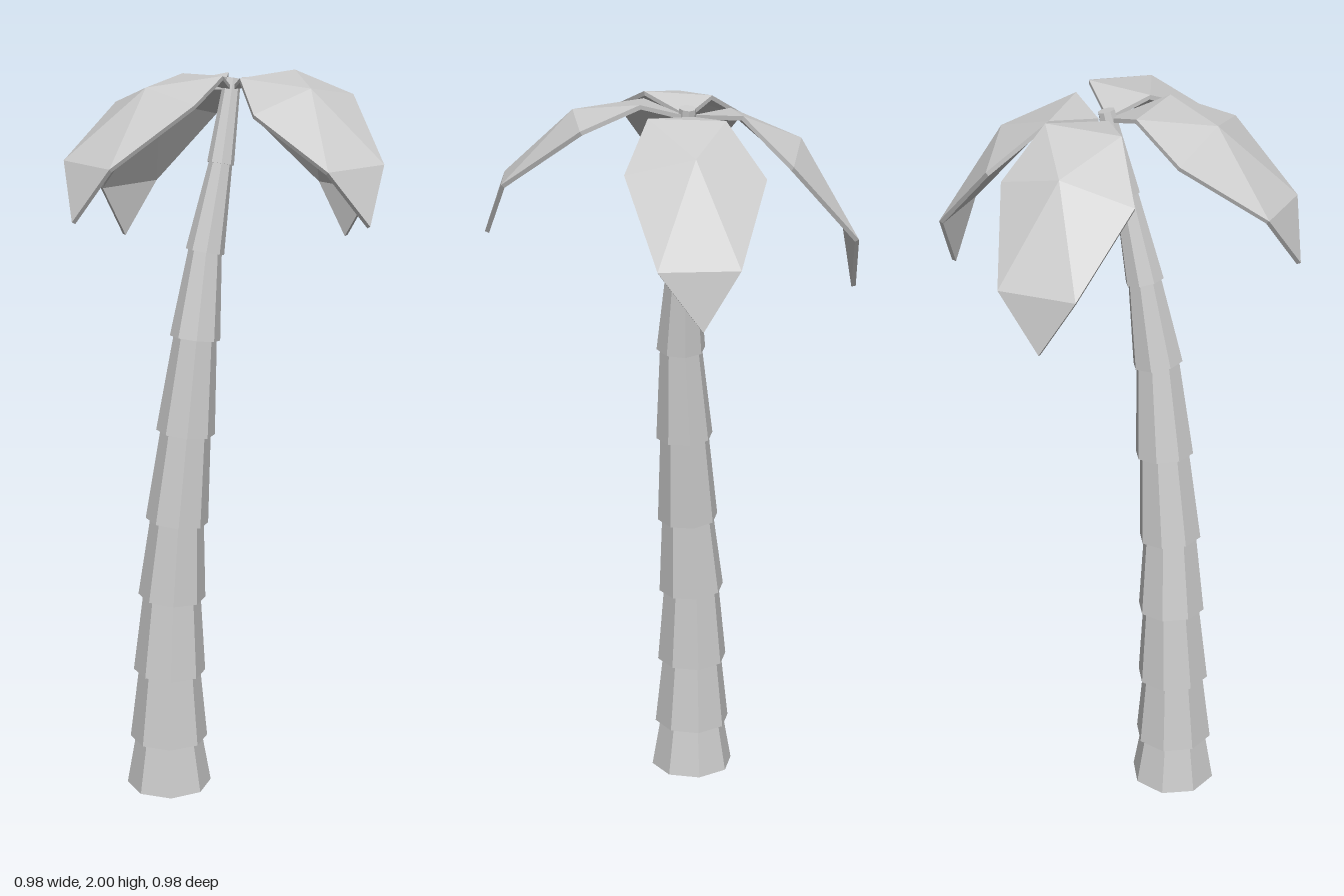
import * as THREE from 'three';

const material = new THREE.MeshStandardMaterial({ color: 0xcccccc, flatShading: true });

// Trunk rings: x, y, z of the lower centre, and lower radius
const RINGS = [
  [-0.0925, 0, 0.167, 0.118], [-0.092, 0.14, 0.167, 0.108], [-0.091, 0.34, 0.163, 0.1],
  [-0.087, 0.56, 0.155, 0.093], [-0.074, 0.78, 0.146, 0.086], [-0.06, 1.03, 0.124, 0.08],
  [-0.045, 1.29, 0.1, 0.068], [-0.042, 1.52, 0.062, 0.052], [-0.032, 1.75, 0.01, 0.036],
  [-0.035, 1.96, -0.04, 0.026],
];

// Leaf points: root, shoulders, ridge, widest pair, lower pair, tip (right then left of each pair)
const HIGH_LEAF = [
  [-0.035, 1.95, -0.035], [0.055, 1.995, 0.1], [-0.12, 1.985, 0.06], [-0.07, 1.97, 0.255],
  [0.1, 1.94, 0.26], [-0.23, 1.915, 0.2], [-0.015, 1.79, 0.45], [-0.205, 1.79, 0.42], [-0.115, 1.65, 0.485],
];
const LOW_LEAF = [
  [-0.045, 1.95, -0.06], [-0.11, 1.955, -0.17], [0.09, 1.965, -0.16], [0, 1.89, -0.335],
  [-0.185, 1.83, -0.315], [0.17, 1.845, -0.275], [-0.085, 1.64, -0.485], [0.12, 1.64, -0.465], [0.01, 1.49, -0.49],
];
const FACES = [[0, 2, 1], [3, 1, 2], [3, 2, 5], [3, 5, 7], [3, 7, 6], [3, 6, 4], [3, 4, 1], [8, 6, 7]];
const RIM = [0, 2, 5, 7, 8, 6, 4, 1];
const CROWN = new THREE.Vector3(-0.035, 0, -0.04);

// One trunk section, flared at the bottom and leaning towards the next ring
function trunkSection(i) {
  const [x, y, z, r] = RINGS[i];
  const [nx, ny, nz, nr] = RINGS[i + 1];
  const from = new THREE.Vector3(x, y, z);
  const axis = new THREE.Vector3(nx, ny, nz).sub(from);
  const length = axis.length() + 0.01;
  axis.normalize();
  const geometry = new THREE.CylinderGeometry(nr * 0.85, r, length, 8);
  geometry.translate(0, length / 2, 0);
  const mesh = new THREE.Mesh(geometry, material);
  mesh.name = 'trunkSection' + (i + 1);
  mesh.position.copy(from);
  mesh.quaternion.setFromUnitVectors(new THREE.Vector3(0, 1, 0), axis);
  return mesh;
}

// A faceted leaf: upper skin, lower skin and a thin rim between them
function leafGeometry(points) {
  const top = points.map((p) => new THREE.Vector3(...p));
  const inner = new THREE.Vector3(CROWN.x, 1.4, CROWN.z);
  const bottom = top.map((p) => p.clone().add(inner.clone().sub(p).setLength(0.012)));
  const corners = [];
  for (const [a, b, c] of FACES) {
    corners.push(top[a], top[b], top[c], bottom[a], bottom[c], bottom[b]);
  }
  RIM.forEach((a, i) => {
    const b = RIM[(i + 1) % RIM.length];
    corners.push(top[a], bottom[a], bottom[b], top[a], bottom[b], top[b]);
  });
  const geometry = new THREE.BufferGeometry().setFromPoints(corners);
  geometry.computeVertexNormals();
  return geometry;
}

export function createModel() {
  const model = new THREE.Group();
  model.name = 'palmTree';

  const trunk = new THREE.Group();
  trunk.name = 'trunk';
  for (let i = 0; i < RINGS.length - 1; i++) trunk.add(trunkSection(i));
  model.add(trunk);

  // Each leaf shape is used twice, the second a quarter turn around the crown
  const leaves = new THREE.Group();
  leaves.name = 'leaves';
  const addLeaf = (name, points, turn) => {
    const geometry = leafGeometry(points);
    geometry.translate(-CROWN.x, 0, -CROWN.z);
    const leaf = new THREE.Mesh(geometry, material);
    leaf.name = name;
    leaf.position.copy(CROWN);
    leaf.rotation.y = turn;
    leaves.add(leaf);
  };
  addLeaf('frontLeaf', HIGH_LEAF, 0);
  addLeaf('leftLeaf', HIGH_LEAF, Math.PI / 2);
  addLeaf('backLeaf', LOW_LEAF, 0);
  addLeaf('rightLeaf', LOW_LEAF, Math.PI / 2);
  model.add(leaves);

  return model;
}
